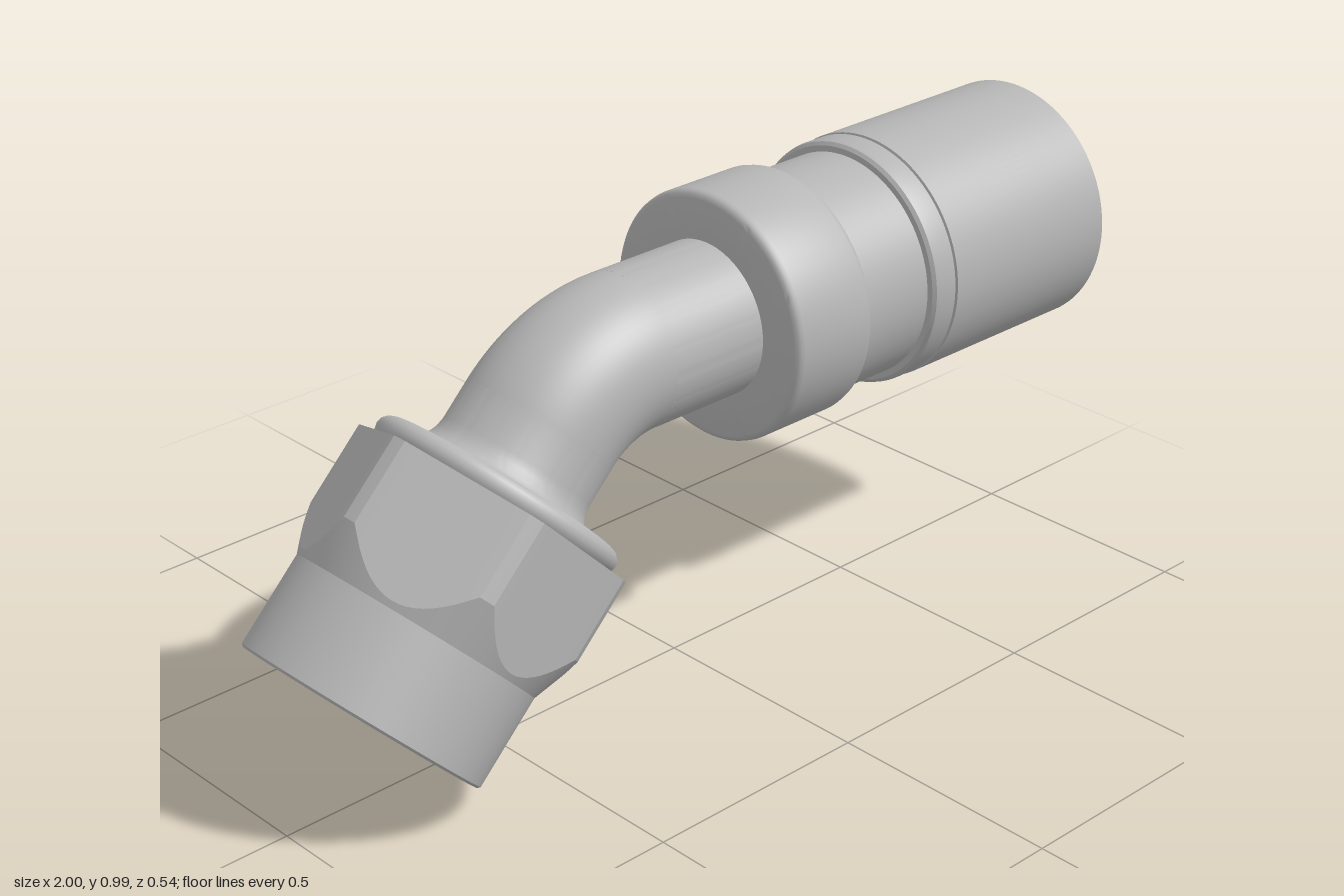
import * as THREE from 'three';
import { toCreasedNormals } from 'three/addons/utils/BufferGeometryUtils.js';

const steel = new THREE.MeshStandardMaterial({ color: 0xb6b6b6, side: THREE.DoubleSide });
steel.name = 'steel grey';

const SEG = 120;          // 3 degrees per step
const TUBE_R = 0.163, BORE_R = 0.127;
const FLAT = 0.268;       // hex centre to flat
const CORNER = 0.3;       // hex centre to trimmed corner
const BEND_R = 0.3, BEND_X = -0.1437, AXIS_Y = 0.735;
const STUB_END = 0.649;   // where the nut-side tube meets the bend

const lathe = (points, seg = SEG) =>
  new THREE.LatheGeometry(points.map(([r, y]) => new THREE.Vector2(r, y)), seg);

function mesh(name, geometry, crease = 0.45) {
  const m = new THREE.Mesh(crease ? toCreasedNormals(geometry, crease) : geometry, steel);
  m.name = name;
  return m;
}

// Hexagon outside with a conical lower chamfer, leaving a window in the back flat
function hexGeometry() {
  const rows = [[0.263, 0.2], [CORNER, 0.3], [CORNER, 0.32], [CORNER, 0.44], [CORNER, 0.475], [0.2, 0.475]];
  const geo = lathe(rows);
  const pos = geo.attributes.position, n = rows.length;
  for (let i = 0; i <= SEG; i++) {
    const phi = (i / SEG) * Math.PI * 2;
    const off = phi - Math.round(phi / (Math.PI / 3)) * (Math.PI / 3);
    const r = Math.min(CORNER, FLAT / Math.cos(off));
    for (let j = 1; j <= 4; j++) {
      const y = j === 1 ? 0.2 + 0.1 * (r - 0.263) / (CORNER - 0.263) : rows[j][1];
      pos.setXYZ(i * n + j, r * Math.sin(phi), y, r * Math.cos(phi));
    }
  }
  const kept = [], idx = geo.index.array;
  for (let i = 0; i < SEG; i++) {
    for (let j = 0; j < n - 1; j++) {
      if (j === 2 && i >= 53 && i < 67) continue;
      const k = (i * (n - 1) + j) * 6;
      kept.push(...idx.slice(k, k + 6));
    }
  }
  geo.setIndex(kept);
  return geo;
}

function makeNut() {
  const nut = new THREE.Group();
  nut.name = 'swivelNut';

  // Threaded skirt with its open cavity
  nut.add(mesh('nutSkirt', lathe([
    [0.19, 0.3], [0.225, 0.3], [0.225, 0.03], [0.245, 0], [0.258, 0], [0.263, 0.005], [0.263, 0.2],
  ])));
  nut.add(mesh('nutHex', hexGeometry(), 0.2));

  // Back flat with a small drilled hole
  const w = FLAT * Math.tan(Math.PI * 21 / 180);
  const plate = new THREE.Shape();
  plate.moveTo(-w, 0.32).lineTo(w, 0.32).lineTo(w, 0.44).lineTo(-w, 0.44).closePath();
  plate.holes.push(new THREE.Path().absarc(0, 0.38, 0.026, 0, Math.PI * 2, true));
  const flat = new THREE.ShapeGeometry(plate, 24).rotateY(Math.PI).translate(0, 0, -FLAT);
  nut.add(mesh('drilledFlat', flat, 0));
  const well = lathe([[0.026, 0.03], [0.026, 0], [0.0001, 0]], 32)
    .rotateX(-Math.PI / 2).translate(0, 0.38, -FLAT + 0.03);
  nut.add(mesh('drilledHole', well));

  // Rounded retaining ring
  nut.add(mesh('retainingRing', lathe([
    [0.255, 0.47], [0.263, 0.48], [0.266, 0.492], [0.263, 0.504], [0.255, 0.513], [0.245, 0.517],
    [0.232, 0.514], [0.222, 0.506], [0.219, 0.485], [0.2, 0.485],
  ]), 0.6));

  // Tube end: sealing nose, bore and flared neck
  nut.add(mesh('tubeNeck', lathe([
    [BORE_R, STUB_END], [BORE_R, 0.22], [0.15, 0.22], [0.19, 0.3],
  ])));
  nut.add(mesh('tubeFlare', lathe([
    [0.215, 0.48], [0.213, 0.498], [0.2, 0.507], [0.185, 0.517], [0.173, 0.53], [0.166, 0.546],
    [TUBE_R, 0.565], [TUBE_R, STUB_END],
  ]), 0.6));

  nut.position.set(-0.815, 0.188, 0);
  nut.rotation.z = -Math.PI / 4;
  return nut;
}

function makeBend() {
  const bend = new THREE.Group();
  bend.name = 'bentTube';
  for (const [name, r] of [['bendOutside', TUBE_R], ['bendBore', BORE_R]]) {
    const geo = new THREE.TorusGeometry(BEND_R, r, 64, 32, Math.PI / 4).rotateZ(Math.PI / 2);
    bend.add(mesh(name, geo, 0));
  }
  bend.position.set(BEND_X, AXIS_Y - BEND_R, 0);
  return bend;
}

function makeSleeve() {
  const sleeve = new THREE.Group();
  sleeve.name = 'hoseEnd';

  sleeve.add(mesh('straightTube', lathe([[TUBE_R, BEND_X], [TUBE_R, 0.09]])));

  // Collar, waist and crimp shell
  sleeve.add(mesh('crimpSleeve', lathe([
    [TUBE_R, 0.085], [0.248, 0.085], [0.256, 0.088], [0.261, 0.094], [0.263, 0.102],
    [0.263, 0.278], [0.261, 0.286], [0.256, 0.292], [0.248, 0.295], [0.239, 0.295],
    [0.239, 0.478], [0.252, 0.478], [0.259, 0.484], [0.261, 0.492],
    [0.261, 0.537], [0.258, 0.539], [0.258, 0.541], [0.263, 0.543],
    [0.263, 1], [0.247, 1], [0.225, 0.96], [0.225, 0.7], [0.19, 0.7],
  ]), 0.6));

  // Inner nipple and through bore
  sleeve.add(mesh('hoseNipple', lathe([
    [0.2, 0.7], [0.2, 0.95], [0.185, 0.985], [0.165, 0.985], [BORE_R, 0.75], [BORE_R, BEND_X],
  ]), 0.3));

  sleeve.position.y = AXIS_Y;
  sleeve.rotation.z = -Math.PI / 2;
  return sleeve;
}

export function createModel() {
  const model = new THREE.Group();
  model.name = 'elbowHoseFitting';
  model.add(makeNut(), makeBend(), makeSleeve());
  return model;
}
